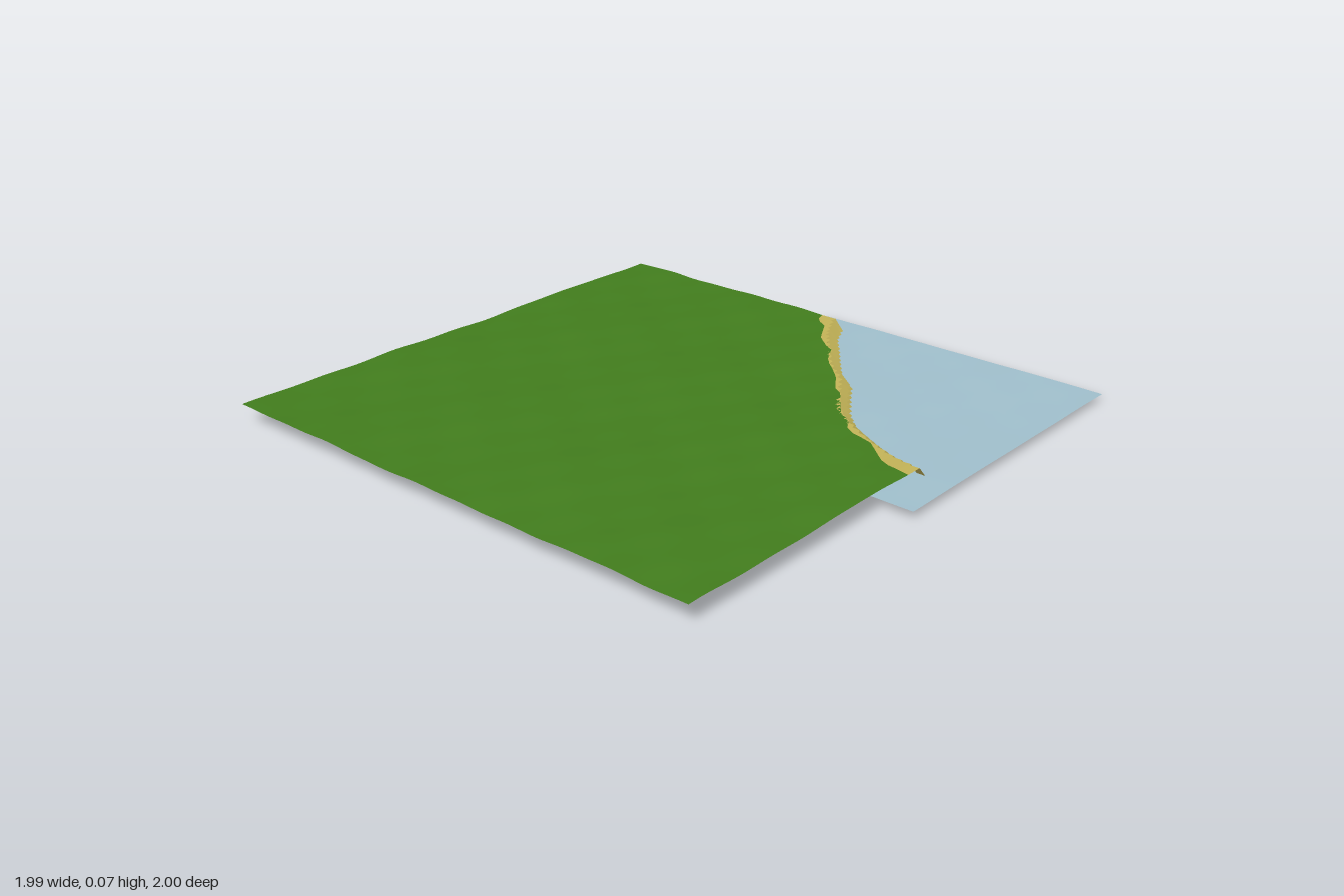
import * as THREE from 'three';

const SIZE = 0.9; // right and front limit of the ground
const CORNER_Z = -0.09; // where the shore meets the right edge

// Shore lines as [x, z], from the right edge round to the front edge
const GRASS_EDGE = [[0.9, -0.09], [0.84, -0.07], [0.82, -0.02], [0.75, 0.02], [0.7, 0.05], [0.66, 0.1], [0.63, 0.15],
  [0.55, 0.19], [0.49, 0.26], [0.45, 0.3], [0.38, 0.345], [0.35, 0.39], [0.28, 0.44], [0.22, 0.485], [0.18, 0.545],
  [0.12, 0.58], [0.1, 0.68], [0.05, 0.74], [0.0, 0.8], [-0.02, 0.9]];
const BANK_TOP = [[0.9, -0.03], [0.78, 0.03], [0.69, 0.1], [0.6, 0.17], [0.53, 0.23], [0.46, 0.32], [0.37, 0.38],
  [0.26, 0.45], [0.19, 0.53], [0.14, 0.62], [0.1, 0.7], [0.07, 0.78], [0.04, 0.9]];
const BANK_FOOT = [[0.9, 0.02], [0.82, 0.06], [0.74, 0.13], [0.65, 0.2], [0.56, 0.27], [0.49, 0.36], [0.39, 0.43],
  [0.3, 0.5], [0.23, 0.57], [0.18, 0.67], [0.14, 0.74], [0.12, 0.8], [0.09, 0.9]];

// Gentle unevenness, about -1 to 1
const bumps = (x, z) => (Math.sin(9 * x + 3 * z + 1) + Math.sin(5 * x - 11 * z) +
  Math.sin(23 * x + 17 * z + 2) * 0.6 + Math.sin(31 * z - 19 * x) * 0.5) / 3.1;
const landY = (x, z) => 0.071 + 0.006 * bumps(x, z);
const bedY = (x, z) => 0.012 + 0.006 * bumps(x + 2, z);

// Evenly spaced points along a polyline, with a stair-step corner between neighbours
function shoreLine(points, stepped, count = 34) {
  const path = new THREE.CurvePath();
  const v = points.map(([x, z]) => new THREE.Vector2(x, z));
  for (let i = 1; i < v.length; i++) path.add(new THREE.LineCurve(v[i - 1], v[i]));
  const samples = path.getSpacedPoints(count);
  return samples.flatMap((p, i) => {
    const next = samples[Math.min(i + 1, count)];
    const corner = stepped
      ? new THREE.Vector2(THREE.MathUtils.lerp(p.x, next.x, 0.9), THREE.MathUtils.lerp(p.y, next.y, 0.1))
      : p.clone().lerp(next, 0.5);
    return i < count ? [p, corner] : [p];
  });
}

// Surface through rows of points: rows run to +z, columns to +x
function surface(name, color, rows, flatShading = false) {
  const cols = rows[0].length;
  const index = [];
  for (let r = 0; r < rows.length - 1; r++) {
    for (let c = 0; c < cols - 1; c++) {
      const a = r * cols + c;
      const b = a + cols;
      index.push(a, b, a + 1, a + 1, b, b + 1);
    }
  }
  const geometry = new THREE.BufferGeometry();
  geometry.setAttribute('position', new THREE.Float32BufferAttribute(rows.flat(2), 3));
  geometry.setIndex(index);
  geometry.computeVertexNormals();
  const material = new THREE.MeshStandardMaterial({ color, flatShading, side: THREE.DoubleSide });
  const mesh = new THREE.Mesh(geometry, material);
  mesh.name = name;
  return mesh;
}

// Row of points from x0 to x1 at depth z, raised by a height rule
const row = (x0, x1, z, n, height) => Array.from({ length: n + 1 }, (_, i) => {
  const x = THREE.MathUtils.lerp(x0, x1, i / n);
  return [x, height(x, z), z];
});

export function createModel() {
  const group = new THREE.Group();
  group.name = 'lakeside';
  const edge = shoreLine(GRASS_EDGE, false);
  const top = shoreLine(BANK_TOP, true);
  const foot = shoreLine(BANK_FOOT, true);

  // Grass: full-width rows at the back, then rows that stop at the shore
  const grassRows = [];
  for (let i = 0; i < 30; i++) {
    grassRows.push(row(-1, SIZE, THREE.MathUtils.lerp(-1, CORNER_Z, i / 30), 60, landY));
  }
  for (const p of edge) grassRows.push(row(-1, p.x, p.y, 60, landY));
  group.add(surface('grass', 0x427d1d, grassRows));

  // Sandy lip and steep stepped bank down to the lake bed
  const lip = edge.map((p, i) => [
    [p.x, landY(p.x, p.y), p.y],
    [top[i].x, landY(top[i].x, top[i].y), top[i].y],
  ]);
  const bank = top.map((p, i) => {
    const f = foot[i];
    const m = p.clone().lerp(f, 0.55);
    return [[p.x, landY(p.x, p.y), p.y], [m.x, 0.04, m.y], [f.x, bedY(f.x, f.y), f.y]];
  });
  group.add(surface('sandLip', 0xc4b458, lip, true));
  group.add(surface('bank', 0xc4b458, bank, true));

  // Lake bed from the bank foot to the right edge
  group.add(surface('lakeBed', 0x38260f, foot.map((p) => row(p.x, SIZE, p.y, 24, bedY))));

  // Water sheet with a faint ripple
  const waterRows = [];
  for (let i = 0; i <= 24; i++) {
    const z = THREE.MathUtils.lerp(-0.13, 1, i / 24);
    waterRows.push(row(-0.14, 0.99, z, 24, (x, d) => 0.031 + 0.0015 * bumps(x, d + 3)));
  }
  group.add(surface('water', 0xa0bfcc, waterRows));

  // Rest the lowest point on the ground
  group.position.y = -new THREE.Box3().setFromObject(group).min.y + 0.004;
  const root = new THREE.Group();
  root.name = 'model';
  root.add(group);
  return root;
}
